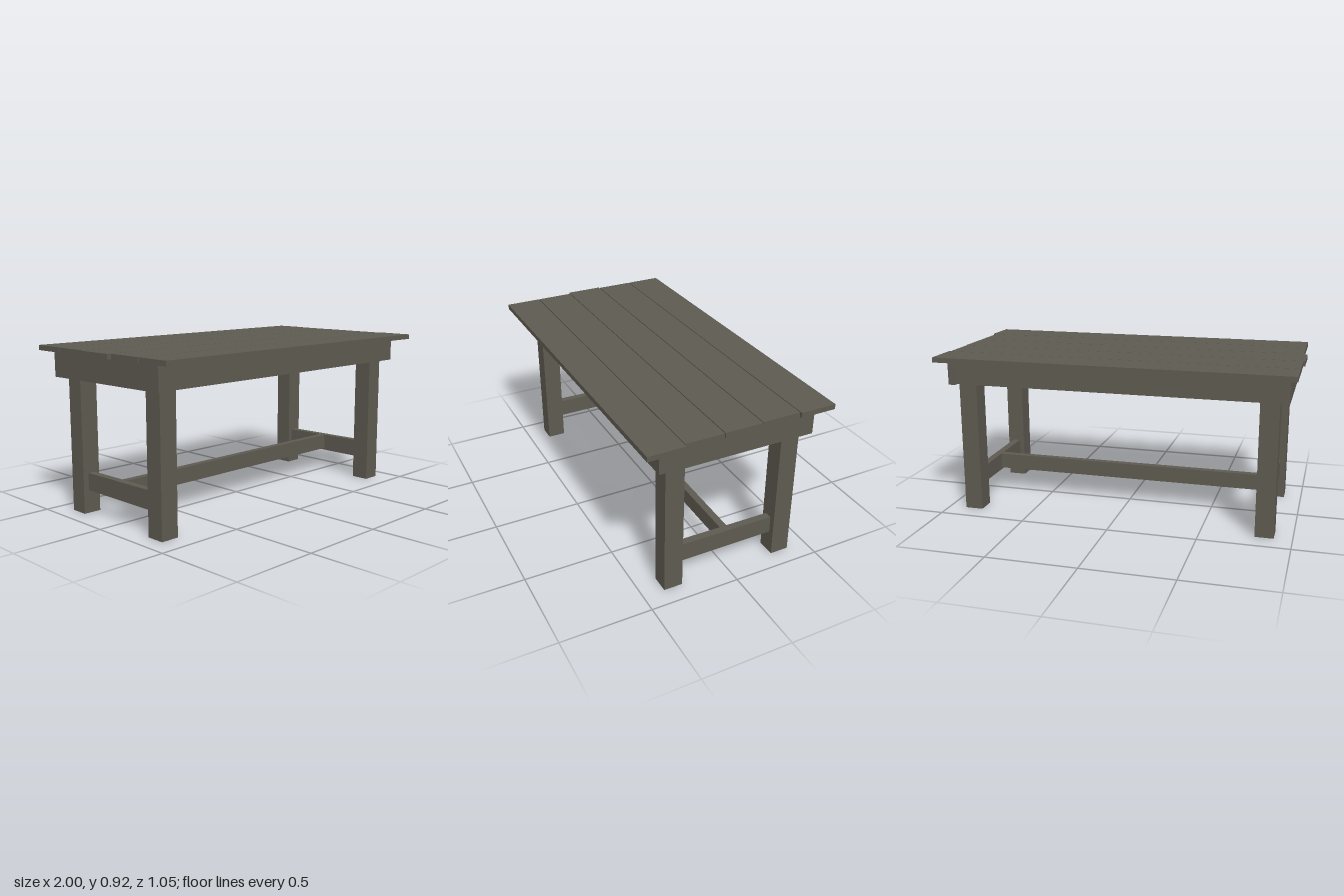
import * as THREE from 'three';

export function createModel() {
  const table = new THREE.Group();
  table.name = 'table';
  const wood = new THREE.MeshStandardMaterial({ color: 0x5e5a51 });
  wood.name = 'weathered wood';

  // A board given by its extents on each axis
  function board(name, [x0, x1], [y0, y1], [z0, z1], tilt = 0) {
    const mesh = new THREE.Mesh(new THREE.BoxGeometry(x1 - x0, y1 - y0, z1 - z0), wood);
    mesh.position.set((x0 + x1) / 2, (y0 + y1) / 2, (z0 + z1) / 2);
    mesh.rotation.x = tilt;
    mesh.name = name;
    table.add(mesh);
    return mesh;
  }

  // Tabletop planks, with slightly uneven ends: x0, x1, z0, z1
  [
    [-0.99, 0.985, -0.524, -0.324],
    [-0.99, 0.975, -0.319, -0.108],
    [-1.0, 0.98, -0.103, 0.105],
    [-0.98, 0.98, 0.11, 0.32],
    [-0.98, 1.0, 0.325, 0.526],
  ].forEach(([x0, x1, z0, z1], i) => board(`topPlank${i + 1}`, [x0, x1], [0.892, 0.92], [z0, z1]));

  // Aprons butted at the corners; the end boards hang a little crooked
  board('frontApron', [-0.91, 0.94], [0.76, 0.889], [0.392, 0.435]);
  board('backApron', [-0.91, 0.9], [0.757, 0.889], [-0.435, -0.392]);
  board('rightEndApron', [-0.951, -0.91], [0.754, 0.887], [-0.436, 0.435], -0.007);
  board('leftEndApron', [0.9, 0.94], [0.754, 0.887], [-0.436, 0.392], -0.007);

  for (const side of [-1, 1]) {
    const label = side < 0 ? 'right' : 'left';
    const span = (a, b) => (side < 0 ? [-b, -a] : [a, b]);

    // Square legs running up to the planks
    board(`${label}FrontLeg`, span(0.797, 0.9), [0, 0.89], [0.275, 0.38]);
    board(`${label}BackLeg`, span(0.797, 0.9), [0, 0.89], [-0.384, -0.279]);

    // End stretcher whose top edge falls slightly toward the back
    const rail = board(`${label}EndStretcher`, span(0.825, 0.867), [0.128, 0.229], [-0.279, 0.275]);
    const p = rail.geometry.attributes.position;
    for (let i = 0; i < p.count; i++) {
      if (p.getY(i) > 0) p.setY(i, p.getY(i) + 0.013 * p.getZ(i));
    }
    rail.geometry.computeVertexNormals();
  }

  // Long stretcher joining the end stretchers
  board('longStretcher', [-0.825, 0.825], [0.14, 0.23], [-0.026, 0.014]);

  return table;
}
